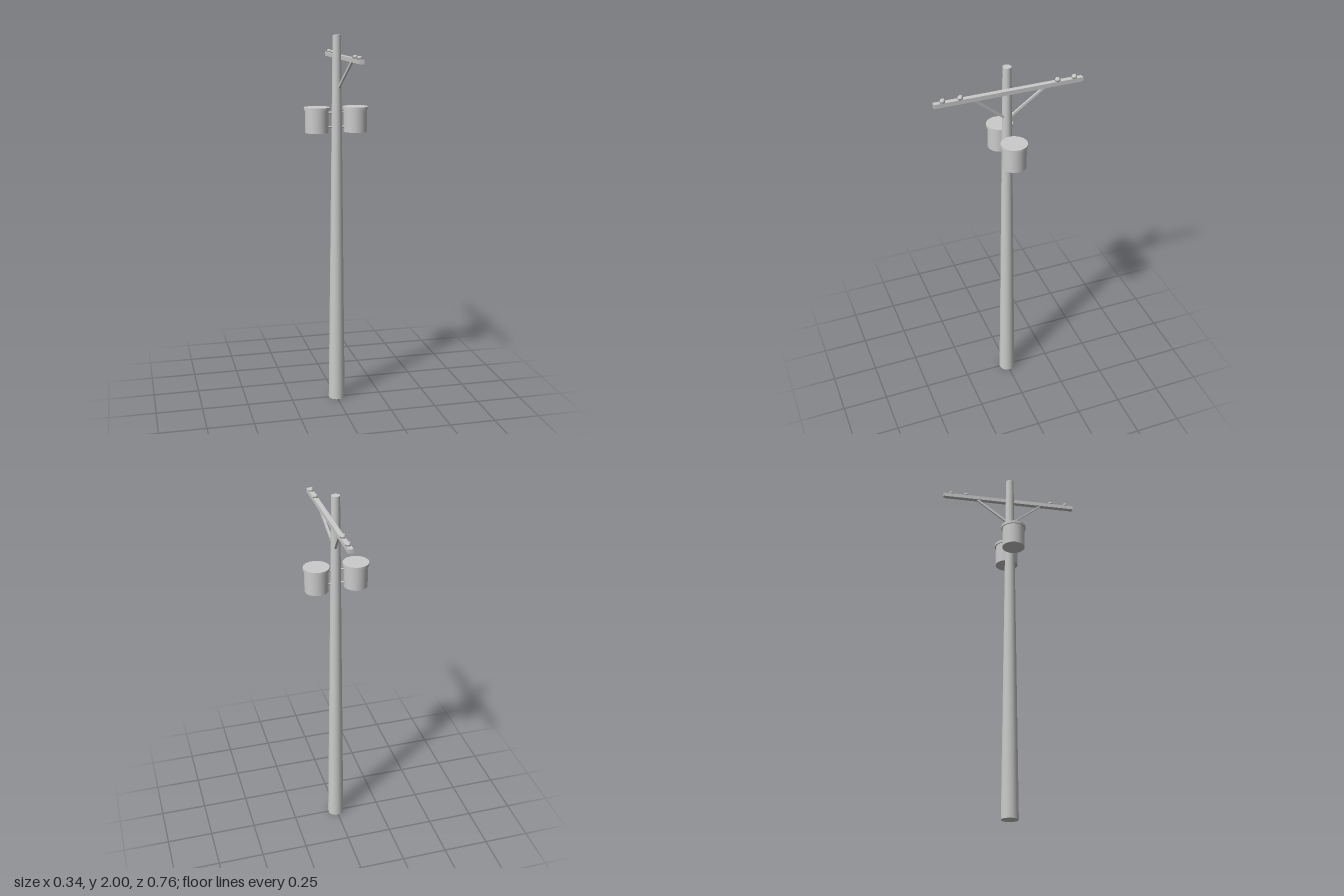
import * as THREE from 'three';

const material = new THREE.MeshStandardMaterial({ color: 0xcccccc });
const POLE_X = 0.003;
const ARM_X = 0.039;

function addMesh(parent, name, geometry, x = 0, y = 0, z = 0) {
  const mesh = new THREE.Mesh(geometry, material);
  mesh.name = name;
  mesh.position.set(x, y, z);
  parent.add(mesh);
  return mesh;
}

// Square bar running between two points
function addBar(parent, name, from, to, thickness) {
  const length = from.distanceTo(to);
  const bar = addMesh(parent, name, new THREE.BoxGeometry(thickness, thickness, length));
  bar.position.copy(from).lerp(to, 0.5);
  bar.lookAt(to);
  return bar;
}

// Drum transformer with a rimmed lid and two mounting rods to the pole
function createTransformer(name, side) {
  const group = new THREE.Group();
  group.name = name;
  const x = side * 0.104;
  addMesh(group, 'drum', new THREE.CylinderGeometry(0.062, 0.062, 0.12, 32), x, 1.557, 0);
  addMesh(group, 'lid', new THREE.CylinderGeometry(0.068, 0.068, 0.015, 32), x, 1.6225, 0);
  for (const y of [1.525, 1.6]) {
    const rod = addMesh(group, 'mountingRod', new THREE.CylinderGeometry(0.005, 0.005, 0.05, 10), side * 0.033, y, 0);
    rod.rotation.z = Math.PI / 2;
  }
  return group;
}

export function createModel() {
  const model = new THREE.Group();
  model.name = 'utilityPole';

  // Tapered pole
  addMesh(model, 'pole', new THREE.CylinderGeometry(0.022, 0.045, 2, 24), POLE_X, 1, 0);

  // Crossarm on the left face of the pole
  addMesh(model, 'crossarm', new THREE.BoxGeometry(0.025, 0.022, 0.764), ARM_X, 1.884, 0);

  // Insulators: short base with a bevelled cap
  const profile = [[0, 0], [0.013, 0], [0.013, 0.008], [0.013, 0.008], [0.009, 0.016], [0.009, 0.016], [0, 0.016]]
    .map(([r, y]) => new THREE.Vector2(r, y));
  const insulator = new THREE.LatheGeometry(profile, 16);

  for (const side of [1, -1]) {
    for (const z of [0.25, 0.338]) {
      addMesh(model, 'insulator', insulator, ARM_X, 1.895, side * z);
    }
    // Diagonal brace from the pole up to the crossarm
    addBar(model, 'brace',
      new THREE.Vector3(0.009, 1.727, side * 0.014),
      new THREE.Vector3(ARM_X, 1.878, side * 0.187), 0.011);
  }

  model.add(createTransformer('leftTransformer', 1), createTransformer('rightTransformer', -1));
  return model;
}
